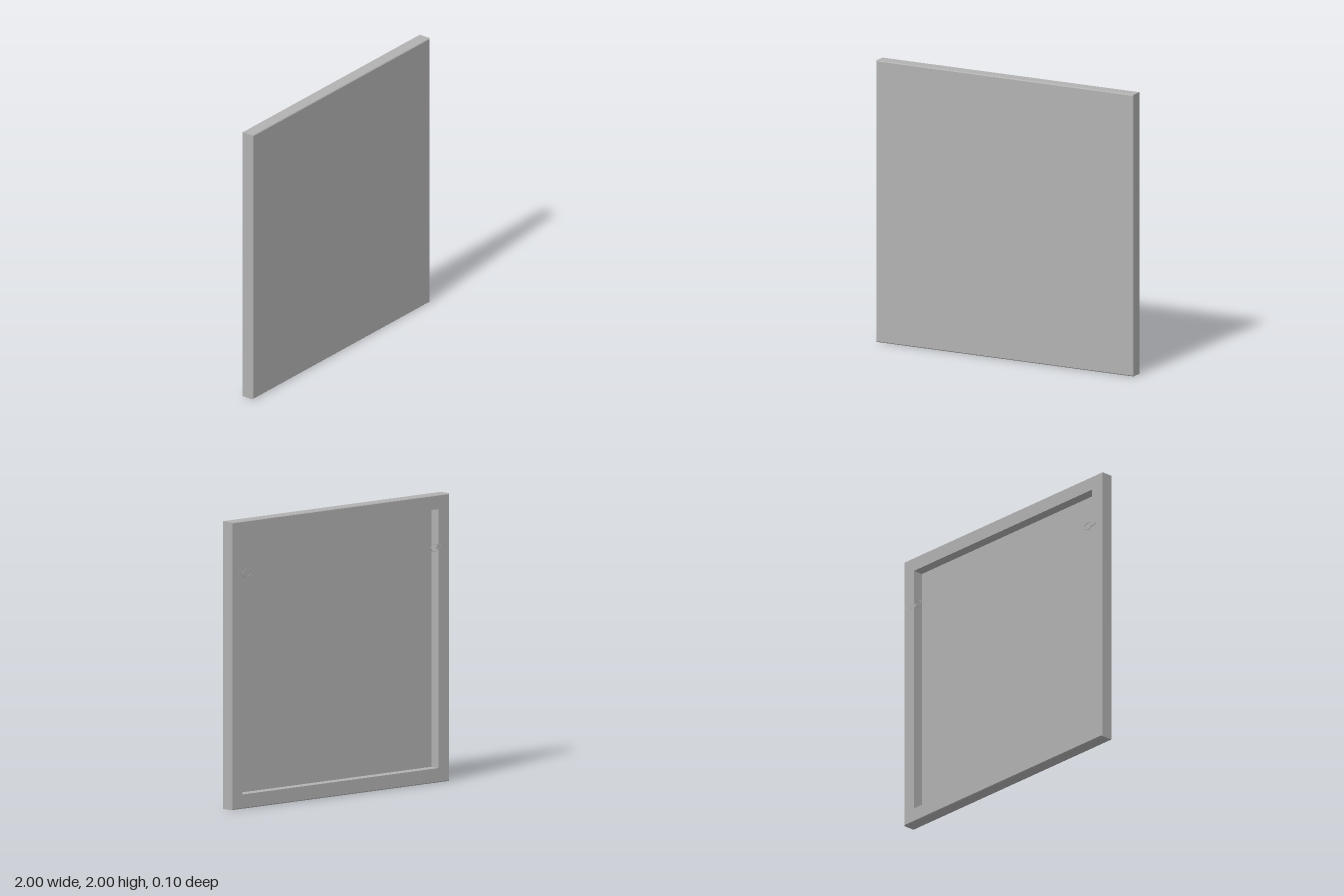
import * as THREE from 'three';

const grey = new THREE.MeshStandardMaterial({ color: 0xb2b2b2 });
grey.name = 'plain grey';

function mesh(geometry, name) {
  const m = new THREE.Mesh(geometry, grey);
  m.name = name;
  return m;
}

// Sweeps a (half width, z) profile around a square, with flat faces
function squareSweep(profile, name) {
  const points = profile.map(([r, z]) => new THREE.Vector2(r * Math.SQRT2, z));
  const g = new THREE.LatheGeometry(points, 4, Math.PI / 4).toNonIndexed();
  g.rotateX(Math.PI / 2);
  g.translate(0, 1, 0);
  g.computeVertexNormals();
  return mesh(g, name);
}

// Ring hanger screwed to the back of the frame; its ring points to +x
function createHanger() {
  const hanger = new THREE.Group();

  // Strap with rounded ends
  const r = 0.012;
  const strapShape = new THREE.Shape();
  strapShape.absarc(-0.048, 0, r, Math.PI / 2, Math.PI * 1.5);
  strapShape.absarc(-0.015, 0, r, -Math.PI / 2, Math.PI / 2);
  const strap = mesh(new THREE.ExtrudeGeometry(strapShape, { depth: 0.002, bevelEnabled: false }), 'hangerStrap');
  strap.position.z = -0.047;

  const screw = mesh(new THREE.CylinderGeometry(0.006, 0.006, 0.002, 16).rotateX(Math.PI / 2), 'hangerScrew');
  screw.position.set(-0.045, 0, -0.048);

  // Oval wire ring
  const ring = mesh(new THREE.TorusGeometry(0.024, 0.002, 8, 32).scale(1.6, 1, 1), 'hangerRing');
  ring.position.set(0.012, 0, -0.048);

  hanger.add(strap, screw, ring);
  return hanger;
}

export function createModel() {
  const model = new THREE.Group();

  // Stretcher bars around the open back, with softened outer edges
  model.add(squareSweep([
    [0.9, 0.03], [0.9, -0.045], [0.994, -0.045], [1, -0.039], [1, 0.044], [0.994, 0.05],
  ], 'stretcherFrame'));

  // Front face and the recessed back of the panel
  model.add(squareSweep([[0.994, 0.05], [0, 0.05]], 'frontPanel'));
  model.add(squareSweep([[0, 0.03], [0.9, 0.03]], 'recessedBack'));

  // A hanger on each upright bar, rings pointing inwards
  for (const side of [-1, 1]) {
    const hanger = createHanger();
    hanger.name = side > 0 ? 'leftHanger' : 'rightHanger';
    hanger.position.set(side * 0.875, 1.635, 0);
    hanger.rotation.z = side > 0 ? Math.PI : 0;
    model.add(hanger);
  }
  return model;
}
